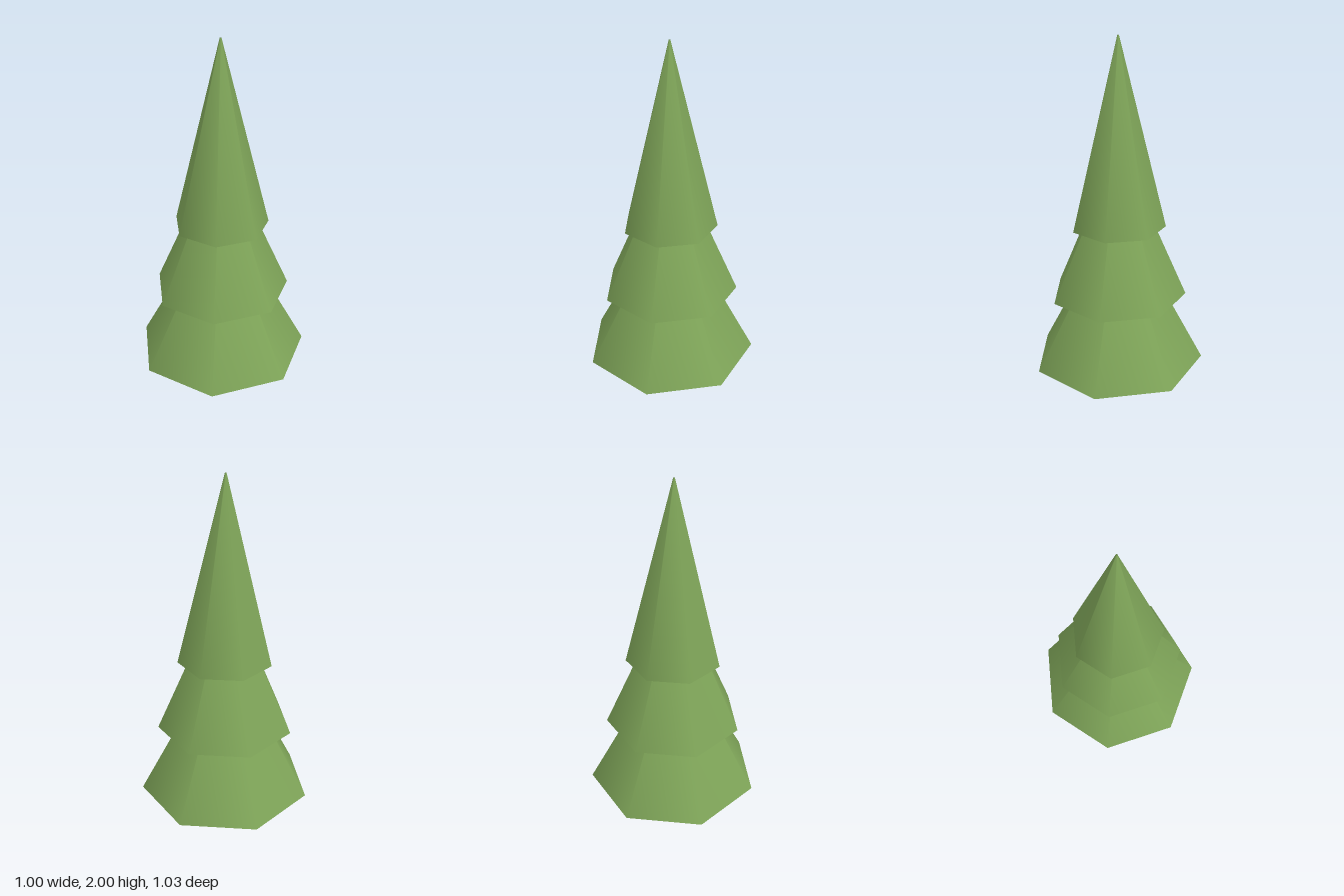
import * as THREE from 'three';

export function createModel() {
  const tree = new THREE.Group();
  tree.name = 'coniferTree';

  const foliage = new THREE.MeshStandardMaterial({ color: 0x7ea458, side: THREE.DoubleSide });
  foliage.name = 'foliageGreen';

  // Hollow seven-sided tiers, each with a corner on +x and a pinhole tip
  const sides = 7, tipRadius = 0.005, axisX = -0.026;
  const tiers = [
    { name: 'lowerTier', radius: 0.526, base: 0, top: 0.97 },
    { name: 'middleTier', radius: 0.414, base: 0.437, top: 1.37 },
    { name: 'upperTier', radius: 0.286, base: 0.875, top: 2 },
  ];
  for (const { name, radius, base, top } of tiers) {
    const cone = new THREE.CylinderGeometry(tipRadius, radius, top - base, sides, 1, true, Math.PI / 2);
    const tier = new THREE.Mesh(cone, foliage);
    tier.name = name;
    tier.position.set(axisX, (base + top) / 2, 0);
    tree.add(tier);
  }
  return tree;
}
